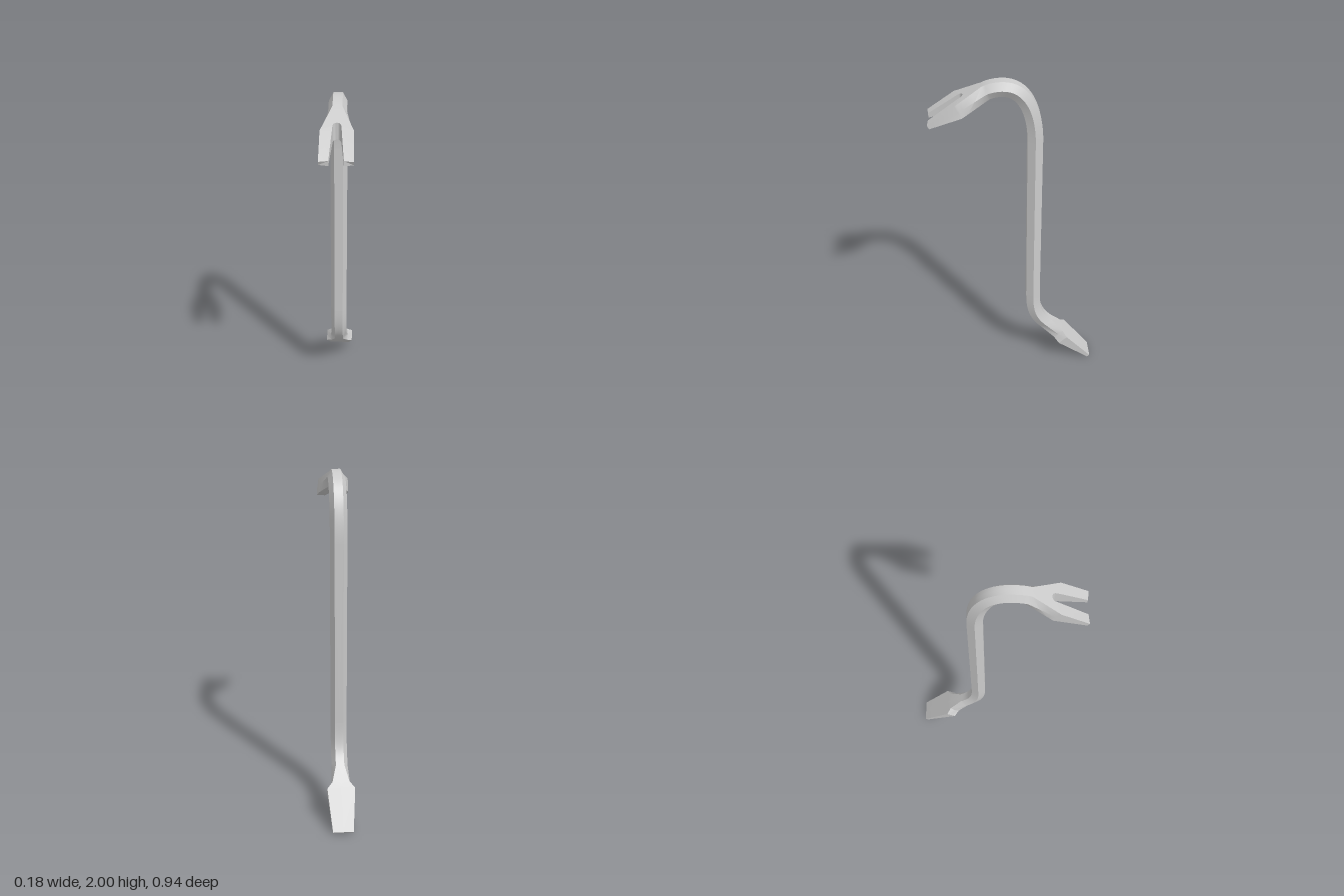
import * as THREE from 'three';
import { toCreasedNormals } from 'three/addons/utils/BufferGeometryUtils.js';

const W = 0.048, F = 0.025, T = 0.042; // hexagonal bar: half width, half flat, half thickness

// A station on the bar's centre line (z, y) with its cross-section.
// slot is the half width of the gap between the prongs.
const station = (z, y, w = W, f = F, t = T, slot = null) => ({ z, y, w, f, t, slot });

// Stations of plain bar along a bezier bend
function bend(n, ...p) {
  const curve = new THREE.CubicBezierCurve(...p.map(([z, y]) => new THREE.Vector2(z, y)));
  return curve.getPoints(n).map((q) => station(q.x, q.y));
}

function createStations() {
  // Flat chisel blade and its shoulder
  const chisel = [
    station(-0.465, 0.008, 0.06, 0.06, 0.01),
    station(-0.288, 0.188, 0.082, 0.082, 0.034),
    station(-0.262, 0.215, 0.056, 0.05, 0.037),
  ];
  const lowerBend = bend(12, [-0.19, 0.285], [-0.13, 0.345], [-0.097, 0.4], [-0.097, 0.55]);
  const upperBend = [
    ...bend(16, [-0.097, 1.64], [-0.097, 1.82], [-0.04, 1.958], [0.08, 1.958]),
    ...bend(5, [0.08, 1.958], [0.11, 1.958], [0.14, 1.953], [0.165, 1.94]).slice(1),
  ];
  // Widening claw with a rounded slot root, then tapering prongs
  const flare = (z, slot) => {
    const u = (z - 0.165) / 0.142;
    return station(z, 1.94 - 0.073 * u, W + 0.037 * u, F + 0.06 * u, T - 0.002 * u, slot);
  };
  const claw = [flare(0.22, null)];
  for (let i = 0; i <= 6; i++) {
    const a = (i / 6) * Math.PI / 2;
    claw.push(flare(0.28 + 0.02 * (1 - Math.cos(a)), 0.022 * Math.sin(a)));
  }
  claw.push(flare(0.307, 0.023), station(0.465, 1.789, 0.088, 0.088, 0.012, 0.038));

  const lower = [...chisel, ...lowerBend];
  return { all: [...lower, ...upperBend, ...claw], a: lower.length - 1, b: lower.length };
}

// Right- or left-hand half of the cross-section, in 3D
function section(all, k, side) {
  const s = all[k], p = all[Math.max(k - 1, 0)], q = all[Math.min(k + 1, all.length - 1)];
  const dir = (m, n) => new THREE.Vector2(n.z - m.z, n.y - m.y).normalize();
  const t = dir(p, s).add(dir(s, q)).normalize();
  const nz = -t.y, ny = t.x;
  const at = (x, h) => new THREE.Vector3(side * x, s.y + ny * h, s.z + nz * h);
  // The slot is cut straight down through the claw
  const inner = (h) => s.slot === null ? at(0, h) : new THREE.Vector3(side * s.slot, s.y + h / ny, s.z);
  return [inner(s.t), at(s.f, s.t), at(s.w, 0), at(s.f, -s.t), inner(-s.t)];
}

// Loft both mirrored halves between two stations
function loft(name, all, from, to, material) {
  const pos = [];
  for (const side of [1, -1]) {
    const tri = (a, b, c) => {
      for (const v of side > 0 ? [a, b, c] : [a, c, b]) pos.push(v.x, v.y, v.z);
    };
    const rings = [];
    for (let k = from; k <= to; k++) rings.push(section(all, k, side));
    for (let k = 0; k < rings.length - 1; k++) {
      const r = rings[k], n = rings[k + 1];
      const walls = all[from + k + 1].slot ? 5 : 4; // fifth wall lines the slot
      for (let j = 0; j < walls; j++) {
        const m = (j + 1) % 5;
        tri(r[j], n[j], n[m]);
        tri(r[j], n[m], r[m]);
      }
    }
    // Blunt tips
    const first = rings[0], last = rings[rings.length - 1];
    for (let j = 1; j < 4; j++) {
      if (from === 0) tri(first[0], first[j], first[j + 1]);
      if (to === all.length - 1) tri(last[0], last[j + 1], last[j]);
    }
  }
  const geometry = new THREE.BufferGeometry();
  geometry.setAttribute('position', new THREE.Float32BufferAttribute(pos, 3));
  const mesh = new THREE.Mesh(toCreasedNormals(geometry, 0.5), material);
  mesh.name = name;
  return mesh;
}

export function createModel() {
  const group = new THREE.Group();
  group.name = 'pryBar';
  const metal = new THREE.MeshStandardMaterial({ color: 0xcccccc });
  const { all, a, b } = createStations();
  group.add(
    loft('chiselEnd', all, 0, a, metal),
    loft('shaft', all, a, b, metal),
    loft('forkedHook', all, b, all.length - 1, metal),
  );
  return group;
}
